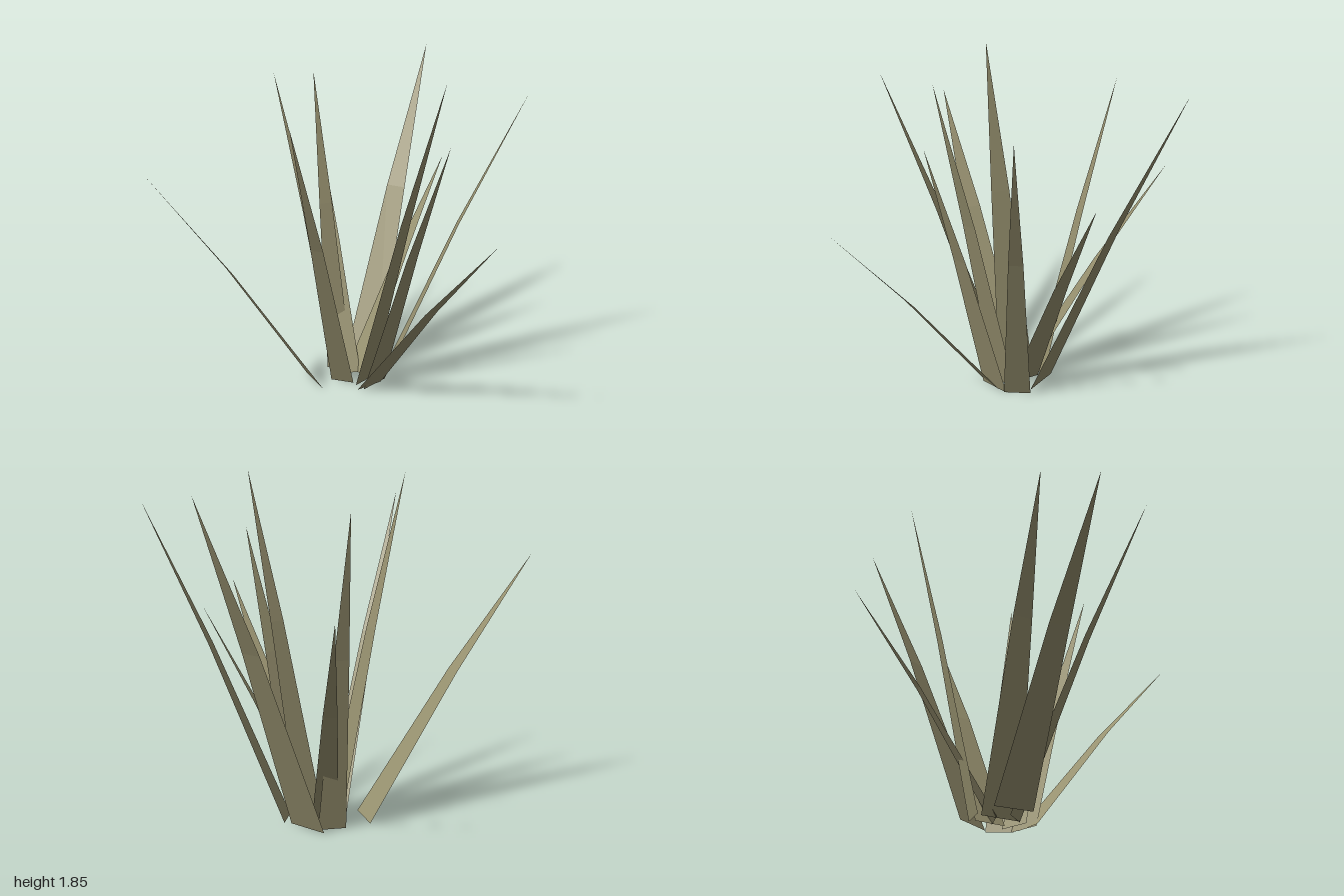
import * as THREE from 'three';

const olive = new THREE.MeshStandardMaterial({ color: 0x989270, side: THREE.DoubleSide });
olive.name = 'dryOlive';

// One flat leaf: a base edge on the ground, a narrower middle edge and a pointed tip.
// Every edge lies level and square to the direction in which the leaf leans.
function bladeGeometry(baseX, baseZ, tipX, tipY, tipZ, width) {
  const base = new THREE.Vector3(baseX, 0, baseZ);
  const tip = new THREE.Vector3(tipX, tipY, tipZ);
  const middle = base.clone().lerp(tip, 0.53);
  middle.y = tipY * 0.56;
  const across = new THREE.Vector3(tipZ - baseZ, 0, baseX - tipX).normalize();
  const edge = (centre, w) => [-0.5, 0.5].map((s) => centre.clone().addScaledVector(across, s * w));
  const [a, b] = edge(base, width);
  const [c, d] = edge(middle, width * 0.52);
  const geometry = new THREE.BufferGeometry().setFromPoints([a, b, d, a, d, c, c, d, tip]);
  geometry.computeVertexNormals();
  return geometry;
}

// base x, base z, tip x, tip y, tip z, base width
const blades = [
  [-0.285, -0.26, -0.545, 1.79, -1.0, 0.225],
  [-0.1, -0.278, 0.41, 1.69, -0.855, 0.147],
  [-0.235, -0.18, -0.17, 1.22, -0.785, 0.175],
  [-0.247, -0.13, -0.94, 1.23, -0.495, 0.142],
  [-0.36, -0.155, -0.74, 1.7, -0.288, 0.15],
  [-0.112, -0.142, 0.41, 1.83, -0.228, 0.167],
  [-0.042, -0.15, 0.46, 1.51, -0.217, 0.18],
  [-0.045, -0.115, 0.94, 1.14, -0.065, 0.17],
  [-0.19, -0.035, 0.19, 1.69, 0.6, 0.135],
  [-0.247, -0.08, -0.317, 1.845, 0.31, 0.217],
  [-0.293, 0.085, -0.518, 1.39, 1.0, 0.212],
];

export function createModel() {
  const tuft = new THREE.Group();
  tuft.name = 'grassTuft';
  blades.forEach((blade, i) => {
    const mesh = new THREE.Mesh(bladeGeometry(...blade), olive);
    mesh.name = `grassBlade${i + 1}`;
    tuft.add(mesh);
  });
  return tuft;
}
